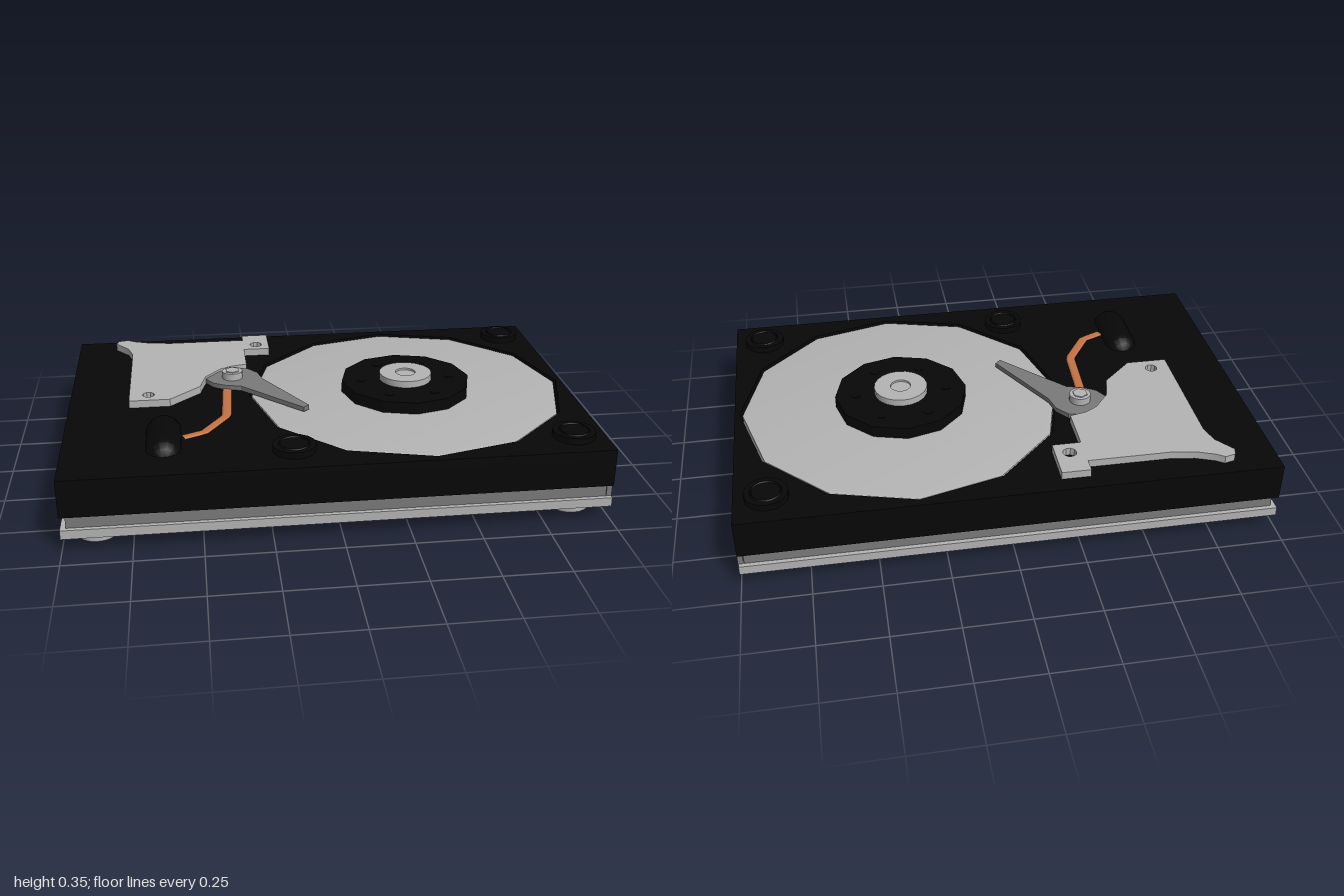
import * as THREE from 'three';
import { toCreasedNormals } from 'three/addons/utils/BufferGeometryUtils.js';

const paint = (name, color) => {
  const m = new THREE.MeshStandardMaterial({ color });
  m.name = name;
  return m;
};

export function createModel() {
  const black = paint('black', 0x070707);
  const silver = paint('silver', 0xb4b4b4);
  const grey = paint('grey', 0x7a7a7a);
  const pale = paint('pale', 0xe6e6e6);
  const copper = paint('copper', 0xc47245);
  const model = new THREE.Group();

  const add = (name, geo, mat, x = 0, y = 0, z = 0) => {
    const mesh = new THREE.Mesh(toCreasedNormals(geo, 0.5), mat);
    mesh.name = name;
    mesh.position.set(x, y, z);
    model.add(mesh);
    return mesh;
  };
  const box = (name, mat, w, y0, y1, d, x = 0, z = 0) =>
    add(name, new THREE.BoxGeometry(w, y1 - y0, d), mat, x, (y0 + y1) / 2, z);
  const disc = (name, mat, r, y0, y1, x, z, sides = 12, rTop = r) =>
    add(name, new THREE.CylinderGeometry(rTop, r, y1 - y0, sides), mat, x, (y0 + y1) / 2, z);
  // Outline given in x, z; holes as [x, z, radius, sides]
  const slab = (name, mat, pts, y0, y1, holes = [], bevel = 0, bevelH = 0) => {
    const shape = new THREE.Shape(pts.map(([x, z]) => new THREE.Vector2(x, -z)));
    for (const [x, z, r, n] of holes) {
      const ring = [];
      for (let i = 0; i < n; i++) {
        const a = i / n * Math.PI * 2;
        ring.push(new THREE.Vector2(x + r * Math.cos(a), -z + r * Math.sin(a)));
      }
      shape.holes.push(new THREE.Path(ring));
    }
    const geo = new THREE.ExtrudeGeometry(shape, {
      depth: y1 - y0 - 2 * bevelH, bevelEnabled: bevel > 0, bevelSize: bevel,
      bevelOffset: -bevel, bevelThickness: bevelH, bevelSegments: 1,
    });
    geo.rotateX(-Math.PI / 2);
    return add(name, geo, mat, 0, y0 + bevelH, 0);
  };

  // Base tray
  box('basePlate', silver, 2, 0.055, 0.09, 1.334);
  box('middleLayer', grey, 1.96, 0.09, 0.14, 1.3);

  // Hourglass bulge below the base, with its label
  const half = [[0.82, 0.27], [0.57, 0.53], [0.12, 0.53], [-0.1, 0.41], [-0.38, 0.56], [-0.62, 0.56], [-0.88, 0.33]];
  const mirrored = half.map(([x, z]) => [x, -z]).reverse();
  slab('undersideBulge', silver, [...half, ...mirrored], 0.012, 0.088, [], 0.12, 0.028);
  const label = [[-0.79, -0.23], [-0.41, -0.23], [-0.39, -0.21], [-0.39, 0.21], [-0.41, 0.23], [-0.79, 0.23], [-0.81, 0.21], [-0.81, -0.21]];
  slab('undersideLabel', pale, label, 0.009, 0.014);

  // Hollow feet
  const lathe = (points, sides) =>
    new THREE.LatheGeometry(points.map(([r, y]) => new THREE.Vector2(r, y)), sides);
  const footProfile = [[0.04, 0.056], [0.04, 0.005], [0.045, 0], [0.074, 0], [0.08, 0.006], [0.08, 0.056]];
  for (const x of [-0.88, 0.88]) for (const z of [-0.53, 0.53]) {
    add('foot', lathe(footProfile, 20), silver, x, 0, z);
  }

  // Black casting with a recess for the platter
  box('lowerCase', black, 2, 0.14, 0.24, 1.334);
  const deck = [[-1, -0.667], [1, -0.667], [1, 0.667], [-1, 0.667]];
  slab('upperCase', black, deck, 0.24, 0.285, [[0.345, 0, 0.635, 12]]);

  // Connector side: set-back socket, silver ledge and slanted corner pieces
  box('connectorSocket', black, 0.08, 0.107, 0.145, 1.0, 0.945, 0);
  box('connectorLedge', silver, 0.1, 0.085, 0.107, 1.0, 0.95, 0);
  for (const s of [-1, 1]) {
    const wedge = new THREE.Shape([
      new THREE.Vector2(-0.65 * s, 0.085), new THREE.Vector2(-0.5 * s, 0.107),
      new THREE.Vector2(-0.5 * s, 0.157), new THREE.Vector2(-0.65 * s, 0.137),
    ]);
    const geo = new THREE.ExtrudeGeometry(wedge, { depth: 0.02, bevelEnabled: false });
    geo.rotateY(Math.PI / 2);
    add('connectorCornerPiece', geo, grey, 0.982, 0, 0);
  }

  // Screw bosses
  for (const [x, z] of [[0.88, -0.53], [0.88, 0.53], [-0.16, 0.52]]) {
    disc('screwBoss', black, 0.08, 0.28, 0.31, x, z, 16);
    const rim = new THREE.TorusGeometry(0.055, 0.006, 4, 16);
    rim.rotateX(Math.PI / 2);
    add('screwBossRim', rim, black, x, 0.308, z);
  }

  // Platter, clamp and spindle
  disc('platter', silver, 0.625, 0.245, 0.278, 0.345, 0);
  disc('platterEdge', silver, 0.625, 0.278, 0.281, 0.345, 0, 12, 0.605);
  disc('platterClamp', black, 0.26, 0.28, 0.327, 0.345, 0);
  for (let i = 0; i < 6; i++) {
    const a = i * Math.PI / 3;
    disc('clampScrew', black, 0.02, 0.325, 0.329, 0.345 + 0.18 * Math.cos(a), 0.18 * Math.sin(a), 8);
  }
  const capProfile = [[0.105, 0.32], [0.105, 0.354], [0.04, 0.354], [0.04, 0.346], [0, 0.346]];
  add('spindleCap', lathe(capProfile, 20), silver, 0.345, 0, 0);

  // Magnet plate, cut away around the arm
  slab('magnetPlate', silver, [
    [-0.84, -0.57], [-0.83, -0.6], [-0.79, -0.61], [-0.76, -0.59], [-0.69, -0.563], [-0.6, -0.55],
    [-0.285, -0.55], [-0.285, -0.605], [-0.175, -0.605], [-0.175, -0.435], [-0.285, -0.435],
    [-0.285, -0.26], [-0.35, -0.245], [-0.4, -0.215], [-0.46, -0.14], [-0.485, -0.04], [-0.605, 0.075],
    [-0.765, 0.075], [-0.765, -0.43], [-0.785, -0.5],
  ], 0.283, 0.315, [[-0.23, -0.49, 0.026, 10], [-0.69, 0.02, 0.024, 10]]);

  // Swinging arm and its pivot
  slab('actuatorArm', grey, [
    [-0.46, -0.14], [-0.4, -0.215], [-0.35, -0.245], [-0.285, -0.235], [-0.245, -0.185], [-0.23, -0.12],
    [-0.068, 0.175], [-0.09, 0.197], [-0.32, -0.045], [-0.38, -0.06], [-0.43, -0.09],
  ], 0.287, 0.306);
  disc('pivotPost', silver, 0.042, 0.28, 0.335, -0.35, -0.145, 16);
  disc('pivotNut', silver, 0.03, 0.333, 0.339, -0.35, -0.145, 6);

  // Flat copper ribbon cable
  const route = [[-0.375, -0.08], [-0.39, 0.195], [-0.48, 0.335], [-0.56, 0.372]];
  const path = new THREE.CurvePath();
  for (let i = 0; i < 3; i++) {
    const [a, b] = [route[i], route[i + 1]].map(([x, z]) => new THREE.Vector3(x, 0, z));
    path.add(new THREE.LineCurve3(a, b));
  }
  const ribbon = new THREE.TubeGeometry(path, 24, 0.018, 8);
  ribbon.scale(1, 0.35, 1);
  add('ribbonCable', ribbon, copper, 0, 0.286, 0);

  // Rounded filter housing
  const filter = new THREE.CapsuleGeometry(0.07, 0.18, 4, 14);
  filter.rotateX(Math.PI / 2);
  add('filterHousing', filter, black, -0.63, 0.263, 0.37);

  return model;
}
